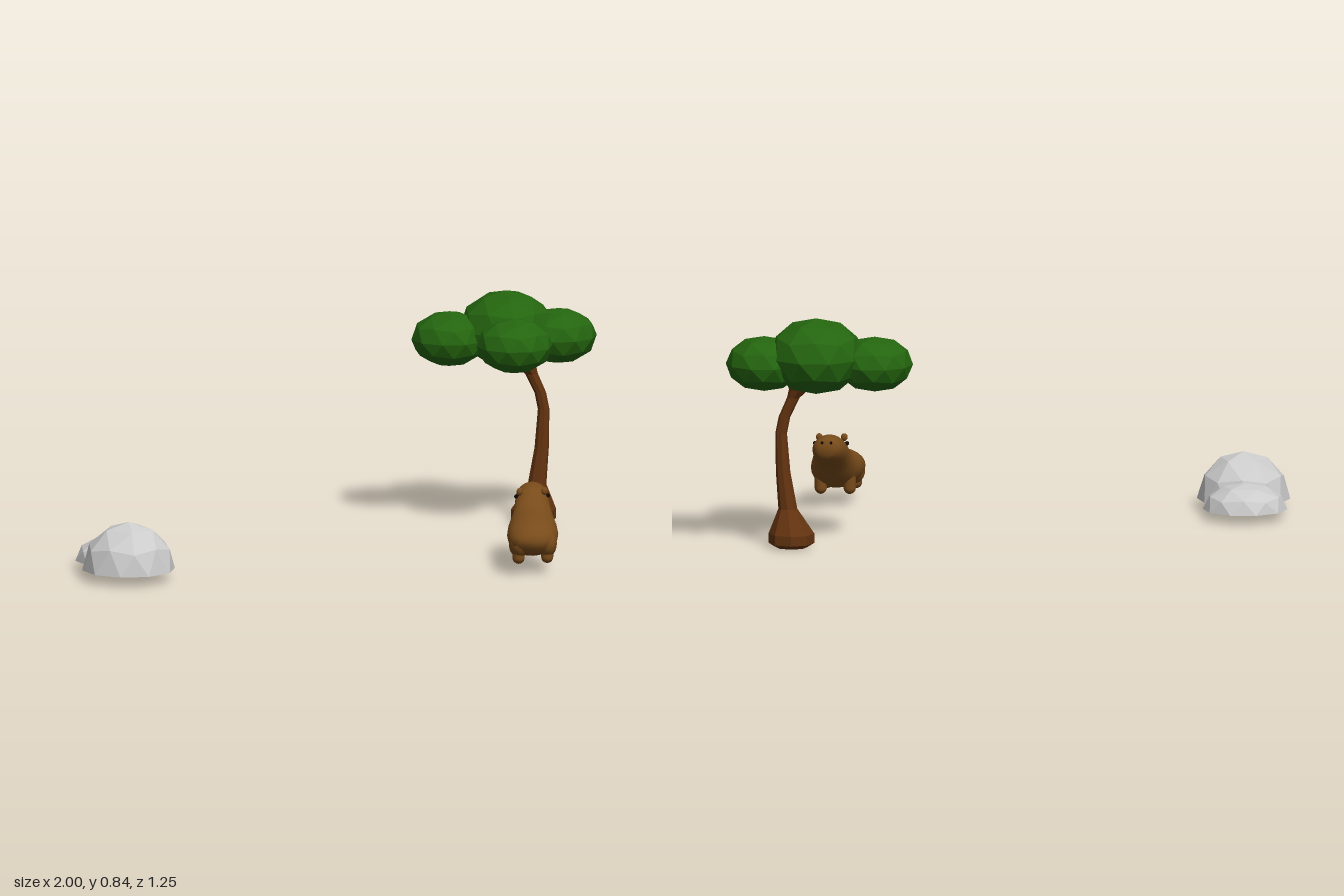
import * as THREE from 'three';
import { mergeVertices } from 'three/addons/utils/BufferGeometryUtils.js';

const V = (x, y, z) => new THREE.Vector3(x, y, z);
const paint = (color, flatShading) => new THREE.MeshStandardMaterial({ color, flatShading });
const leafMat = paint(0x24650f, true);
const barkMat = paint(0x643410, true);
const rockMat = paint(0xcccccc, true);
const furMat = paint(0x784b1a, false);
const darkMat = paint(0x0c0806, false);

function add(parent, name, geometry, material, pos = [0, 0, 0], scale = [1, 1, 1]) {
  const mesh = new THREE.Mesh(geometry, material);
  mesh.name = name;
  mesh.position.set(...pos);
  mesh.scale.set(...scale);
  parent.add(mesh);
  return mesh;
}

// Skin over rings, each { c: centre, u, v: half axes }
function loft(rings, sides) {
  const pos = [], index = [];
  rings.forEach(({ c, u, v }, i) => {
    for (let j = 0; j < sides; j++) {
      const t = (j / sides) * Math.PI * 2;
      const p = c.clone().addScaledVector(u, Math.cos(t)).addScaledVector(v, Math.sin(t));
      pos.push(p.x, p.y, p.z);
      if (i === rings.length - 1) continue;
      const a = i * sides + j, b = i * sides + ((j + 1) % sides);
      index.push(a, b, a + sides, b, b + sides, a + sides);
    }
  });
  let g = new THREE.BufferGeometry();
  g.setAttribute('position', new THREE.Float32BufferAttribute(pos, 3));
  g.setIndex(index);
  g = mergeVertices(g, 1e-5);
  g.computeVertexNormals();
  return g;
}

// Faceted ball with a vertex pointing up
const ball = () => new THREE.IcosahedronGeometry(1, 1).rotateZ(Math.atan(2 / (1 + Math.sqrt(5)))).rotateY(0.3);

function makeTree() {
  const tree = new THREE.Group();
  tree.name = 'tree';
  // Trunk: x, y, radius
  const profile = [
    [0.765, 0.005, 0], [0.765, 0.005, 0.058], [0.765, 0.02, 0.082], [0.765, 0.055, 0.082],
    [0.778, 0.145, 0.034], [0.795, 0.28, 0.026], [0.802, 0.42, 0.021], [0.79, 0.48, 0.021],
    [0.758, 0.55, 0.023], [0.738, 0.58, 0.036], [0.73, 0.62, 0.055], [0.73, 0.62, 0],
  ];
  const rings = profile.map(([x, y, r]) => ({ c: V(x, y, -0.4), u: V(0, 0, r), v: V(r, 0, 0) }));
  add(tree, 'trunk', loft(rings, 8), barkMat);
  // Crown
  add(tree, 'crownTop', ball(), leafMat, [0.675, 0.71, -0.447], [0.172, 0.138, 0.182]);
  const side = [0.138, 0.1, 0.14];
  add(tree, 'crownRight', ball(), leafMat, [0.465, 0.68, -0.435], side);
  add(tree, 'crownLeft', ball(), leafMat, [0.862, 0.68, -0.435], side);
  add(tree, 'crownFront', ball(), leafMat, [0.675, 0.68, -0.263], side);
  return tree;
}

function makeRocks() {
  const rocks = new THREE.Group();
  rocks.name = 'rocks';
  // Half ball with a flat underside
  const dome = ball();
  const p = dome.attributes.position;
  for (let i = 0; i < p.count; i++) p.setY(i, Math.max(0, p.getY(i)));
  add(rocks, 'largeRock', dome, rockMat, [-0.834, 0.04, 0.435], [0.168, 0.172, 0.168]);
  add(rocks, 'smallRock', dome, rockMat, [-0.845, 0.037, 0.238], [0.152, 0.094, 0.15]);
  return rocks;
}

function makeAnimal() {
  const animal = new THREE.Group();
  animal.name = 'animal';
  // The spine runs slightly aslant, nose toward -z
  const spineX = (z) => 0.61 + (0.6 - z) * 0.14;
  const at = (x, y, z) => [spineX(z) + x, y, z];

  // Body and head: top z, top y, bottom z, bottom y, half width
  const sections = [
    [0.627, 0.13, 0.627, 0.13, 0], [0.62, 0.155, 0.62, 0.105, 0.045], [0.597, 0.175, 0.597, 0.082, 0.073],
    [0.55, 0.195, 0.56, 0.07, 0.089], [0.5, 0.208, 0.51, 0.066, 0.093], [0.45, 0.217, 0.455, 0.067, 0.09],
    [0.415, 0.23, 0.412, 0.085, 0.081], [0.387, 0.25, 0.383, 0.122, 0.07], [0.355, 0.274, 0.35, 0.153, 0.064],
    [0.32, 0.286, 0.32, 0.168, 0.061], [0.285, 0.288, 0.285, 0.186, 0.056], [0.26, 0.279, 0.26, 0.206, 0.046],
    [0.251, 0.266, 0.251, 0.22, 0.03], [0.249, 0.243, 0.249, 0.243, 0],
  ];
  const rings = sections.map(([tz, ty, bz, by, w]) => {
    const z = (tz + bz) / 2;
    return { c: V(spineX(z), (ty + by) / 2, z), u: V(0, (ty - by) / 2, (tz - bz) / 2), v: V(w, 0, 0) };
  });
  add(animal, 'body', loft(rings, 24), furMat);

  const sphere = new THREE.SphereGeometry(1, 16, 12);
  const leg = new THREE.CapsuleGeometry(0.022, 0.04, 6, 14);
  for (const s of [-1, 1]) {
    add(animal, 'frontLeg', leg, furMat, at(s * 0.052, 0.09, 0.438), [1, 1, 1.1]);
    add(animal, 'hindLeg', leg, furMat, at(s * 0.052, 0.087, 0.572), [1, 1, 1]);
    add(animal, 'haunch', sphere, furMat, at(s * 0.05, 0.115, 0.56), [0.037, 0.05, 0.05]);
    add(animal, 'ear', sphere, furMat, at(s * 0.045, 0.268, 0.366), [0.012, 0.014, 0.009]);
    add(animal, 'eye', sphere, darkMat, at(s * 0.057, 0.248, 0.35), [0.008, 0.008, 0.009]);
    add(animal, 'nostril', sphere, darkMat, at(s * 0.016, 0.266, 0.254), [0.005, 0.006, 0.005]);
  }
  return animal;
}

export function createModel() {
  const model = new THREE.Group();
  model.name = 'scene';
  model.add(makeTree(), makeRocks(), makeAnimal());
  return model;
}
